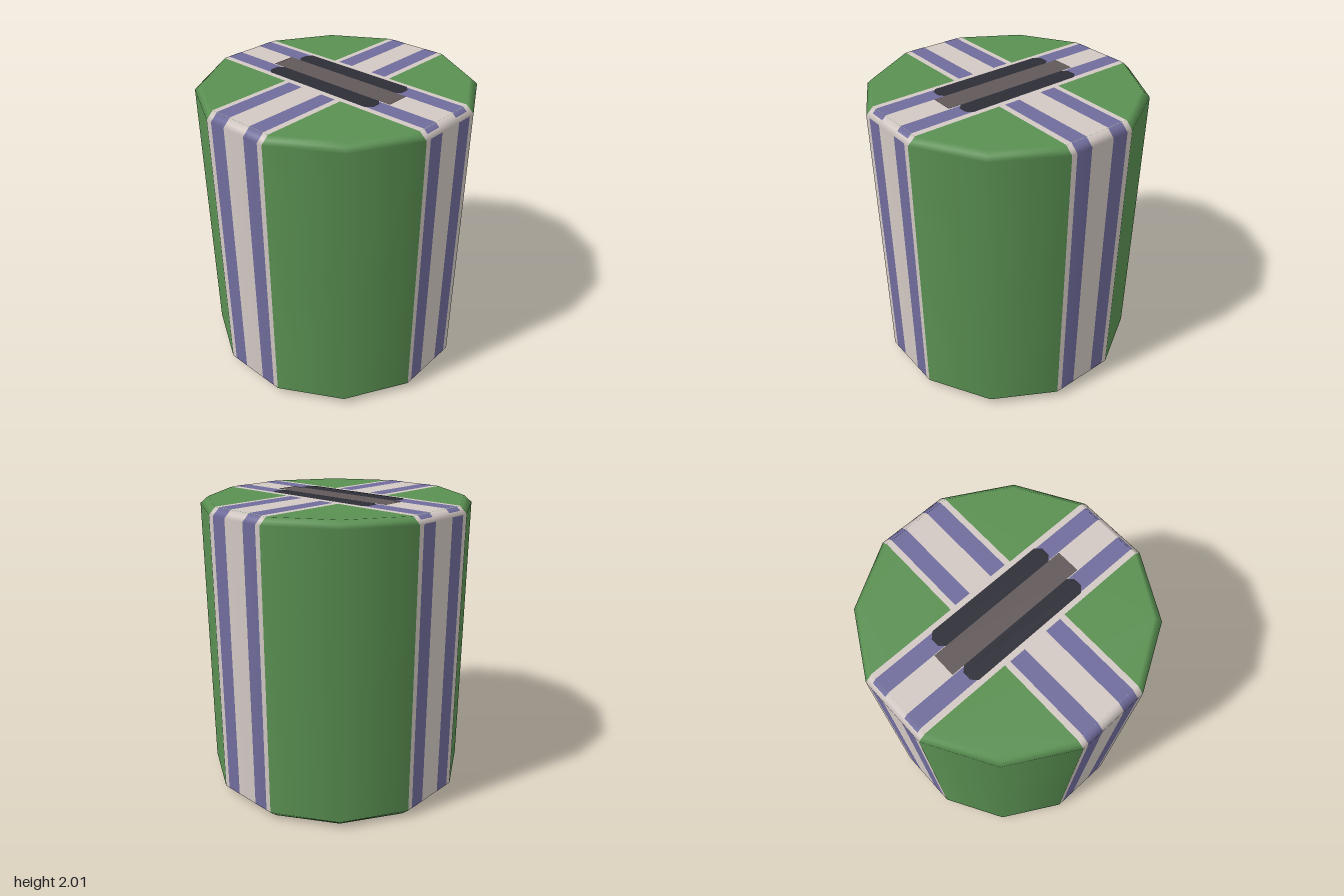
import * as THREE from 'three';

const D = 0.882, H = 0.236, M = 0.646;   // face distance, half width of a face, diagonal corner
const INSET = 0.05, BEVEL = 0.045;       // rim bevel
const B0 = 0.084, B1 = 0.197;            // inner and outer edge of a painted bar
const CAP = D - INSET;

export function createModel() {
  const make = (name, color) => Object.assign(new THREE.MeshStandardMaterial({ color }), { name });
  const green = make('green', 0x5a9052), white = make('warm white', 0xd2c8c3), blue = make('muted blue', 0x706c9c);
  const dark = make('charcoal', 0x2d2d37), brown = make('grey brown', 0x61585a);

  const half = new THREE.Group();
  half.name = 'upperHalf';

  // Corner i of the twelve-sided outline, drawn in by the given inset
  const corner = (i, inset) => {
    const [x, z] = [[D - inset, -H], [D - inset, H], [M - inset * 0.75, M - inset * 0.75]][i % 3];
    const a = Math.floor(i / 3) * Math.PI / 2, c = Math.cos(a), s = Math.sin(a);
    return new THREE.Vector3(x * c - z * s, 0, x * s + z * c);
  };

  // Heights of the wall, from the middle up over the bevel; tilt turns the normal upwards
  const rings = [
    { y: 0, inset: 0, tilt: 0 },
    { y: 1 - BEVEL, inset: 0, tilt: 0 },
    { y: 1 - BEVEL / 2, inset: INSET / 2, tilt: 0.5 },
    { y: 1, inset: INSET, tilt: 1 },
  ];
  const walls = new Map([[green, []], [white, []], [blue, []]]);
  const point = (face, f, ring) => {
    const pos = corner(face, ring.inset).lerp(corner((face + 1) % 12, ring.inset), f).setY(ring.y);
    const normal = corner(face, 0).lerp(corner((face + 1) % 12, 0), f).normalize()
      .lerp(new THREE.Vector3(0, 1, 0), ring.tilt).normalize();
    return { pos, normal };
  };
  const quad = (mat, face, f0, f1, r) => {
    const a = point(face, f1, rings[r]), b = point(face, f0, rings[r]);
    const c = point(face, f0, rings[r + 1]), d = point(face, f1, rings[r + 1]);
    walls.get(mat).push(a, b, c, a, c, d);
  };

  // Every third face is a striped band; the others are plain
  const cuts = [-H, -B1, -B0, B0, B1, H].map(u => (u + H) / (2 * H));
  for (let face = 0; face < 12; face++) {
    for (let r = 0; r < 3; r++) {
      if (face % 3) { quad(green, face, 0, 1, r); continue; }
      const frontOrBack = face % 6 === 3;
      for (let k = 0; k < 5; k++) {
        const bar = k % 2 === 1 && !(frontOrBack && r === 1);
        quad(bar ? blue : white, face, cuts[k], cuts[k + 1], r);
      }
    }
  }
  const wallNames = new Map([[green, 'sideWall'], [white, 'sideBands'], [blue, 'sideBars']]);
  for (const [mat, verts] of walls) {
    const geo = new THREE.BufferGeometry();
    geo.setAttribute('position', new THREE.Float32BufferAttribute(verts.flatMap(v => v.pos.toArray()), 3));
    geo.setAttribute('normal', new THREE.Float32BufferAttribute(verts.flatMap(v => v.normal.toArray()), 3));
    const mesh = new THREE.Mesh(geo, mat);
    mesh.name = wallNames.get(mat);
    half.add(mesh);
  }

  // Flat painted shapes on the end face, given as x, z points
  const flat = (name, mat, pts, layer) => {
    const shape = new THREE.Shape(pts.map(([x, z]) => new THREE.Vector2(x, -z)));
    const mesh = new THREE.Mesh(new THREE.ShapeGeometry(shape).rotateX(-Math.PI / 2), mat);
    mesh.position.y = 1 + layer * 0.0012;
    mesh.name = name;
    half.add(mesh);
  };
  const rect = (name, mat, x0, x1, z0, z1, layer, c = 0) => flat(name, mat, c
    ? [[x0 + c, z0], [x1 - c, z0], [x1, z0 + c], [x1, z1 - c], [x1 - c, z1], [x0 + c, z1], [x0, z1 - c], [x0, z0 + c]]
    : [[x0, z0], [x1, z0], [x1, z1], [x0, z1]], layer);

  const outline = Array.from({ length: 12 }, (_, i) => corner(i, INSET)).map(p => [p.x, p.z]);
  flat('endFace', green, outline, 0);
  rect('endBandAcross', white, -CAP, CAP, -H, H, 1);
  rect('endBandAlong', white, -H, H, -CAP, CAP, 1);
  for (const s of [-1, 1]) {
    const x0 = s < 0 ? -B1 : B0, x1 = s < 0 ? -B0 : B1;
    rect('endBarAlong', blue, x0, x1, -CAP, CAP, 2);
    rect('endBarAcross', blue, -CAP, -0.24, x0, x1, 2);
    rect('endBarAcross', blue, 0.24, CAP, x0, x1, 2);
    rect('darkBar', dark, s < 0 ? -0.203 : 0.076, s < 0 ? -0.076 : 0.203, -0.44, 0.44, 3, 0.035);
  }
  rect('centrePanel', brown, -0.08, 0.08, -0.495, 0.495, 4);

  // The lower half is the upper one turned over
  const lower = half.clone();
  lower.name = 'lowerHalf';
  lower.rotation.z = Math.PI;

  const body = new THREE.Group();
  body.name = 'canister';
  body.add(half, lower);
  body.position.y = 1;
  body.rotation.y = -THREE.MathUtils.degToRad(2.3);

  const model = new THREE.Group();
  model.name = 'stripedCanister';
  model.add(body);
  return model;
}
